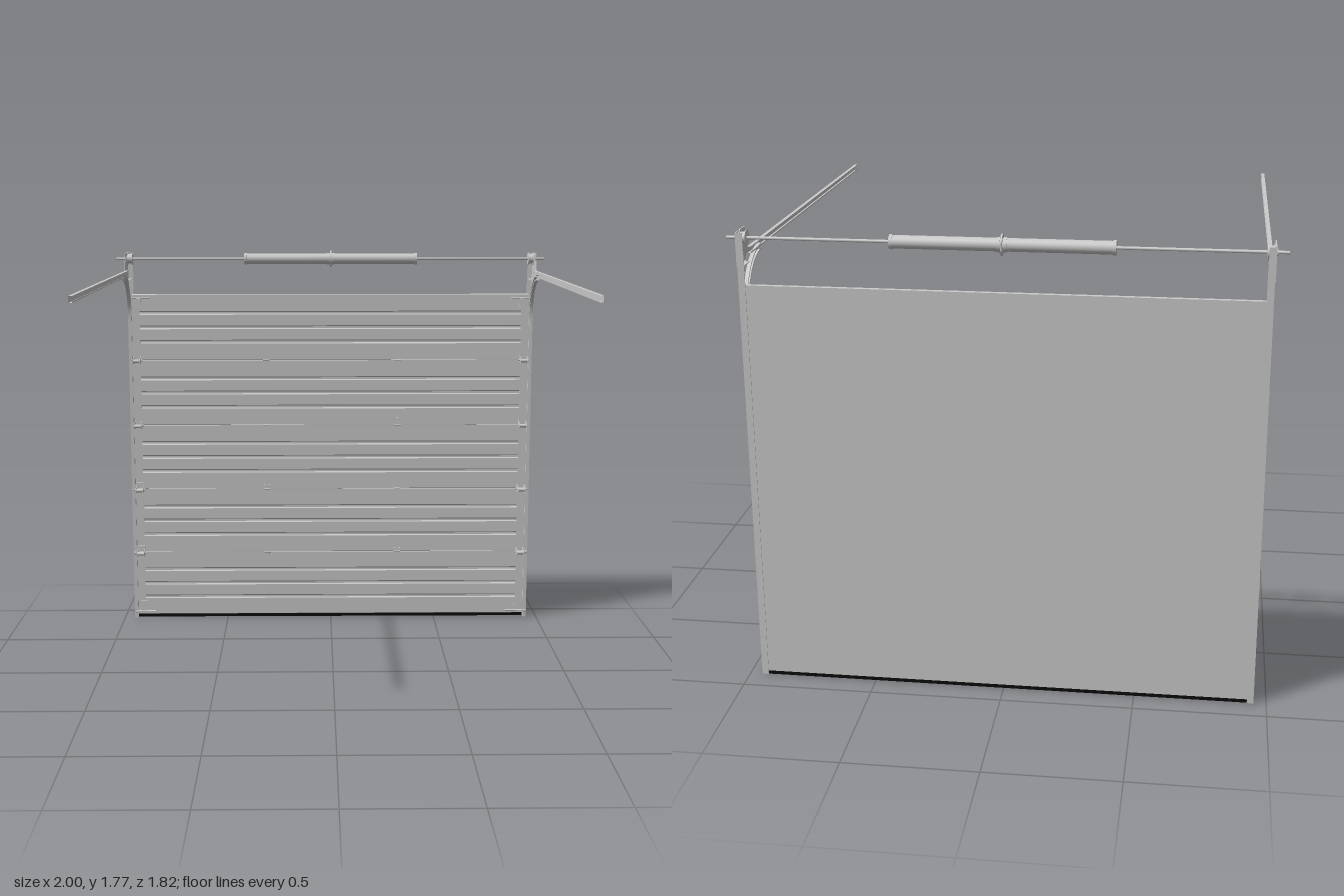
import * as THREE from 'three';
import { toCreasedNormals } from 'three/addons/utils/BufferGeometryUtils.js';

const grey = new THREE.MeshStandardMaterial({ color: 0xcccccc });
const sheet = new THREE.MeshStandardMaterial({ color: 0xcccccc, side: THREE.DoubleSide });
const rubber = new THREE.MeshStandardMaterial({ color: 0x0a0a0a });

const SHAFT_Y = 1.733, SHAFT_Z = -0.867;
const BASE = 0.014, SECTION = 0.3105, FRONT = -0.886, BACK = -0.906;

function add(parent, name, geometry, x = 0, y = 0, z = 0, material = grey) {
  const mesh = new THREE.Mesh(geometry, material);
  mesh.name = name;
  mesh.position.set(x, y, z);
  parent.add(mesh);
  return mesh;
}
const box = (w, h, d) => new THREE.BoxGeometry(w, h, d);
// Cylinder lying along x
const rod = (r, length, sides = 20) => new THREE.CylinderGeometry(r, r, length, sides).rotateZ(Math.PI / 2);
// Profile of [z, y] points extruded along x, centred on x = 0
function extrudeX(points, width, holes = []) {
  const shape = new THREE.Shape(points.map(([z, y]) => new THREE.Vector2(z, y)));
  for (const [z, y, r] of holes) shape.holes.push(new THREE.Path().absarc(z, y, r, 0, Math.PI * 2, true));
  return new THREE.ExtrudeGeometry(shape, { depth: width, bevelEnabled: false, curveSegments: 10 })
    .rotateY(-Math.PI / 2).translate(width / 2, 0, 0);
}

// Open channel section swept along a [z, y] path; the mouth faces the door centre
function channel(path, side) {
  const outline = [[-0.007, 0.936], [-0.0125, 0.936], [-0.0125, 0.95], [0.0125, 0.95], [0.0125, 0.936], [0.007, 0.936]];
  const n = outline.length, pos = [], index = [];
  path.forEach(([z, y], i) => {
    const a = path[Math.max(i - 1, 0)], b = path[Math.min(i + 1, path.length - 1)];
    const dz = b[0] - a[0], dy = b[1] - a[1], len = Math.hypot(dz, dy);
    for (const [u, x] of outline) pos.push(side * x, y + u * dz / len, z - u * dy / len);
    if (i > 0) for (let k = 0; k < n - 1; k++) {
      const p = (i - 1) * n + k, q = p + n;
      index.push(p, q, p + 1, q, q + 1, p + 1);
    }
  });
  const g = new THREE.BufferGeometry();
  g.setAttribute('position', new THREE.Float32BufferAttribute(pos, 3));
  g.setIndex(index);
  return toCreasedNormals(g, 0.5);
}

// One door section: flat back, three pressed grooves, plain end stiles
function doorSection(y0) {
  const group = new THREE.Group();
  group.name = 'doorSection';
  const top = y0 + SECTION, mid = y0 + SECTION / 2, e = 0.002;
  const plain = [[BACK, y0], [FRONT - e, y0], [FRONT, y0 + e], [FRONT, top - e], [FRONT - e, top], [BACK, top]];
  const grooves = [-0.068, 0, 0.068].flatMap(d => [
    [FRONT, mid + d - 0.009], [FRONT - 0.004, mid + d - 0.004],
    [FRONT - 0.004, mid + d + 0.004], [FRONT, mid + d + 0.009]]);
  add(group, 'groovedPanel', extrudeX([...plain.slice(0, 3), ...grooves, ...plain.slice(3)], 1.8));
  for (const s of [-1, 1]) add(group, 'endStile', extrudeX(plain, 0.035), s * 0.9175);
  return group;
}

// Small hinge in the middle of a joint
function middleHinge(x, y) {
  const group = new THREE.Group();
  group.name = 'middleHinge';
  group.position.set(x, y, FRONT);
  add(group, 'hingeLeaf', box(0.014, 0.07, 0.003), 0, 0, 0.0015);
  add(group, 'hingeCrossLeaf', box(0.032, 0.014, 0.003), 0, 0.012, 0.002);
  add(group, 'hingePin', rod(0.004, 0.032, 12), 0, 0, 0.005);
  return group;
}

// Hinge at the edge of a joint, carrying a roller in the track
function rollerHinge(side, y) {
  const group = new THREE.Group();
  group.name = 'rollerHinge';
  group.position.set(side * 0.915, y, 0);
  add(group, 'hingeLeaf', box(0.034, 0.06, 0.003), 0, 0, FRONT + 0.0015);
  const ear = [[FRONT, -0.018], [-0.86, -0.012], [-0.838, -0.011], [-0.829, -0.006],
    [-0.829, 0.006], [-0.838, 0.011], [-0.86, 0.012], [FRONT, 0.018]];
  for (const x of [-0.016, 0.016]) add(group, 'hingeEar', extrudeX(ear, 0.003), x);
  add(group, 'rollerSleeve', rod(0.008, 0.036, 14), 0, 0, -0.842);
  add(group, 'rollerStem', rod(0.0045, 0.06, 12), side * 0.005, 0, -0.868);
  add(group, 'roller', rod(0.0105, 0.01, 18), side * 0.028, 0, -0.868);
  return group;
}

// Track, wall angle, bearing plate, drum and corner brackets of one side
function sideHardware(side) {
  const group = new THREE.Group();
  group.name = side > 0 ? 'leftHardware' : 'rightHardware';
  const x = side * 0.943;

  const curve = [];
  for (let i = 0; i <= 16; i++) {
    const a = (i / 16) * Math.PI / 2;
    curve.push([-0.66 - 0.205 * Math.sin(a), 1.45 + 0.205 * Math.cos(a)]);
  }
  add(group, 'horizontalTrack', channel([[0.915, 1.67], [-0.79, 1.67]], side), 0, 0, 0, sheet);
  add(group, 'curvedTrack', channel(curve, side), 0, 0, 0, sheet);
  add(group, 'verticalTrack', channel([[-0.865, 1.45], [-0.877, 0]], side), 0, 0, 0, sheet);

  // L-shaped wall angle
  add(group, 'angleSideFlange', box(0.003, 1.68, 0.042), side * 0.951, 0.84, -0.888);
  add(group, 'angleWallFlange', box(0.025, 1.68, 0.003), side * 0.94, 0.84, -0.908);

  // Plate joining angle, rail and shaft bearing
  const plate = [[-0.909, 1.635], [-0.83, 1.635], [-0.795, 1.66], [-0.78, 1.665], [-0.78, 1.723],
    [-0.835, 1.725], [-0.835, 1.745], [-0.8, 1.745], [-0.8, 1.76], [-0.909, 1.76]];
  add(group, 'bearingPlate', extrudeX(plate, 0.004, [[SHAFT_Z, SHAFT_Y, 0.009]]), side * 0.953);
  add(group, 'plateWallFlange', box(0.025, 0.125, 0.003), side * 0.941, 1.697, -0.908);
  add(group, 'plateLowerFlange', box(0.022, 0.003, 0.076), side * 0.941, 1.637, -0.868);

  add(group, 'cableDrum', rod(0.022, 0.022, 24), side * 0.936, SHAFT_Y, SHAFT_Z);
  for (const d of [-0.011, 0.011])
    add(group, 'drumFlange', rod(0.029, 0.003, 28), side * 0.936 + d, SHAFT_Y, SHAFT_Z);
  add(group, 'bearing', rod(0.013, 0.014, 18), side * 0.953, SHAFT_Y, SHAFT_Z);

  // Corner brackets with long roller stems
  for (const [name, y, dir] of [['topBracket', 1.55, -1], ['bottomBracket', 0.03, 1]]) {
    const z = dir < 0 ? -0.866 : -0.872;
    add(group, name, box(0.03, 0.06, 0.003), side * 0.908, y + dir * 0.022, FRONT + 0.0015);
    add(group, name + 'Shelf', box(0.085, 0.004, 0.016), side * 0.892, y, FRONT + 0.007);
    add(group, name + 'Stem', rod(0.004, 0.09, 12), side * 0.895, y, z);
    add(group, name + 'Roller', rod(0.0105, 0.01, 18), x, y, z);
  }
  add(group, 'topBracketArm', box(0.018, 0.004, 0.05), side * 0.9, 1.548, -0.861);
  return group;
}

export function createModel() {
  const model = new THREE.Group();
  model.name = 'sectionalDoor';

  // Door leaf
  const door = new THREE.Group();
  door.name = 'door';
  model.add(door);
  for (let i = 0; i < 5; i++) {
    const y = BASE + i * SECTION;
    door.add(doorSection(y));
    if (i === 0) continue;
    for (const x of [-0.305, 0.32]) door.add(middleHinge(x, y));
    for (const s of [-1, 1]) door.add(rollerHinge(s, y));
  }
  add(door, 'bottomSeal', box(1.87, BASE, 0.02), 0, BASE / 2, (FRONT + BACK) / 2, rubber);

  for (const s of [-1, 1]) model.add(sideHardware(s));

  // Torsion shaft with a pair of spring tubes and a centre plate
  const shaft = new THREE.Group();
  shaft.name = 'torsionAssembly';
  shaft.position.set(0, SHAFT_Y, SHAFT_Z);
  model.add(shaft);
  add(shaft, 'shaft', rod(0.006, 2, 16));
  for (const s of [-1, 1]) {
    add(shaft, 'springTube', rod(0.024, 0.395, 28), s * 0.2);
    add(shaft, 'springEndCollar', rod(0.027, 0.012, 28), s * 0.397);
    add(shaft, 'springInnerCollar', rod(0.027, 0.012, 28), s * 0.012);
  }
  add(shaft, 'centrePlate', rod(0.039, 0.006, 32));
  add(shaft, 'centrePlateArm', box(0.005, 0.03, 0.04), 0, 0, -0.02);
  return model;
}
